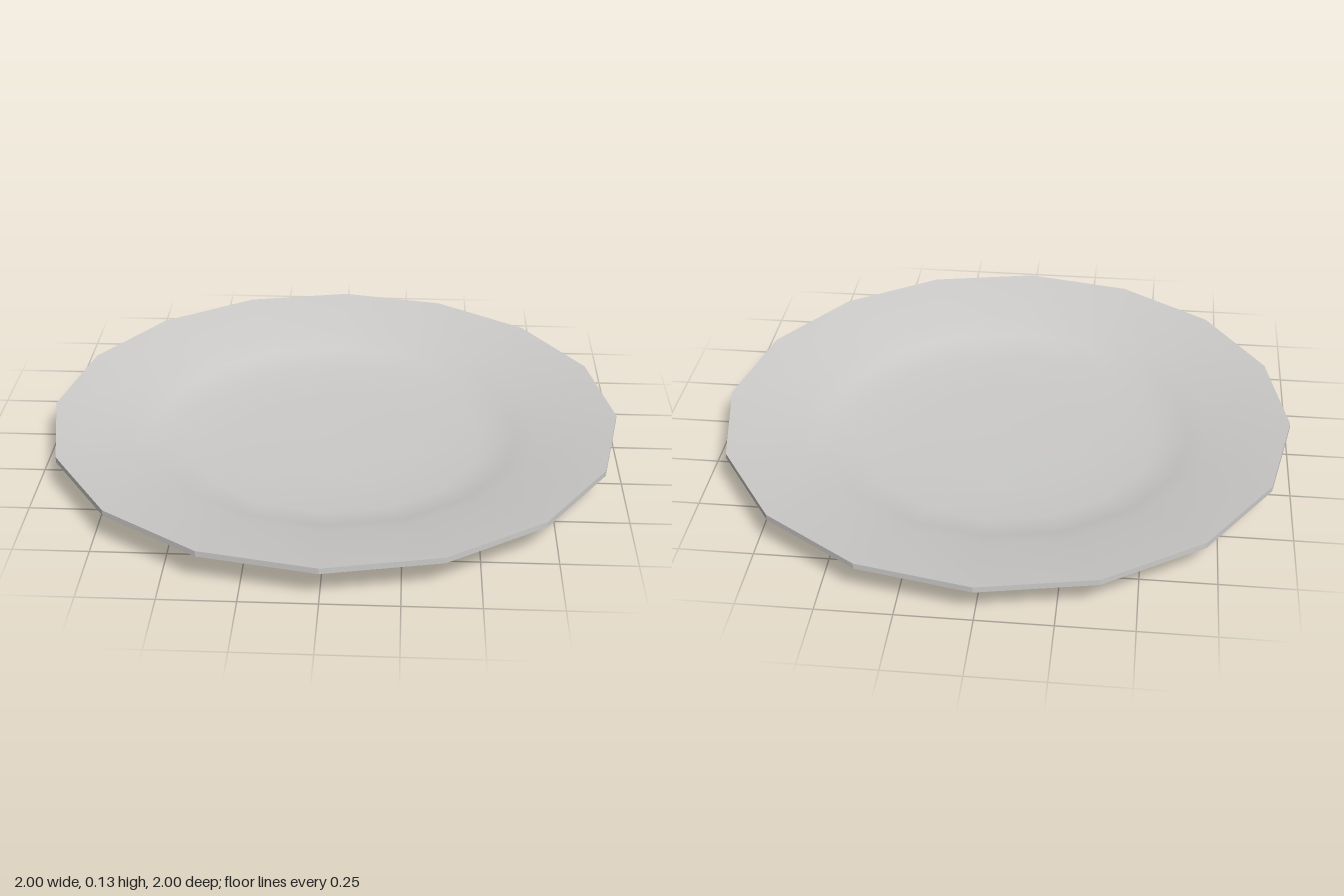
import * as THREE from 'three';

const SIDES = 16;

// Smooth surface of revolution from [radius, height] pairs
function lathe(name, profile, material, faceted = false) {
  const points = profile.map(([r, y]) => new THREE.Vector2(r, y));
  let geometry = new THREE.LatheGeometry(points, SIDES);
  if (faceted) {
    geometry = geometry.toNonIndexed();
    geometry.computeVertexNormals();
  }
  const mesh = new THREE.Mesh(geometry, material);
  mesh.name = name;
  return mesh;
}

export function createModel() {
  const group = new THREE.Group();
  group.name = 'plate';

  const ceramic = new THREE.MeshStandardMaterial({ color: 0xcccbc9 });
  ceramic.name = 'pale grey ceramic';

  // Underside: flat base, short curved wall, wide sloping rim
  const underside = [[0, 0], [0.3, 0.003], [0.53, 0.01], [0.65, 0.035], [0.73, 0.065], [1, 0.11]];
  // Eating surface: the same curve raised by the thickness, from the rim inward
  const upper = underside.map(([r, y]) => [r, y + 0.02]).reverse();

  group.add(
    lathe('underside', underside, ceramic),
    lathe('eatingSurface', upper, ceramic),
    lathe('rimEdge', [[1, 0.11], [1, 0.13]], ceramic, true),
  );
  return group;
}
